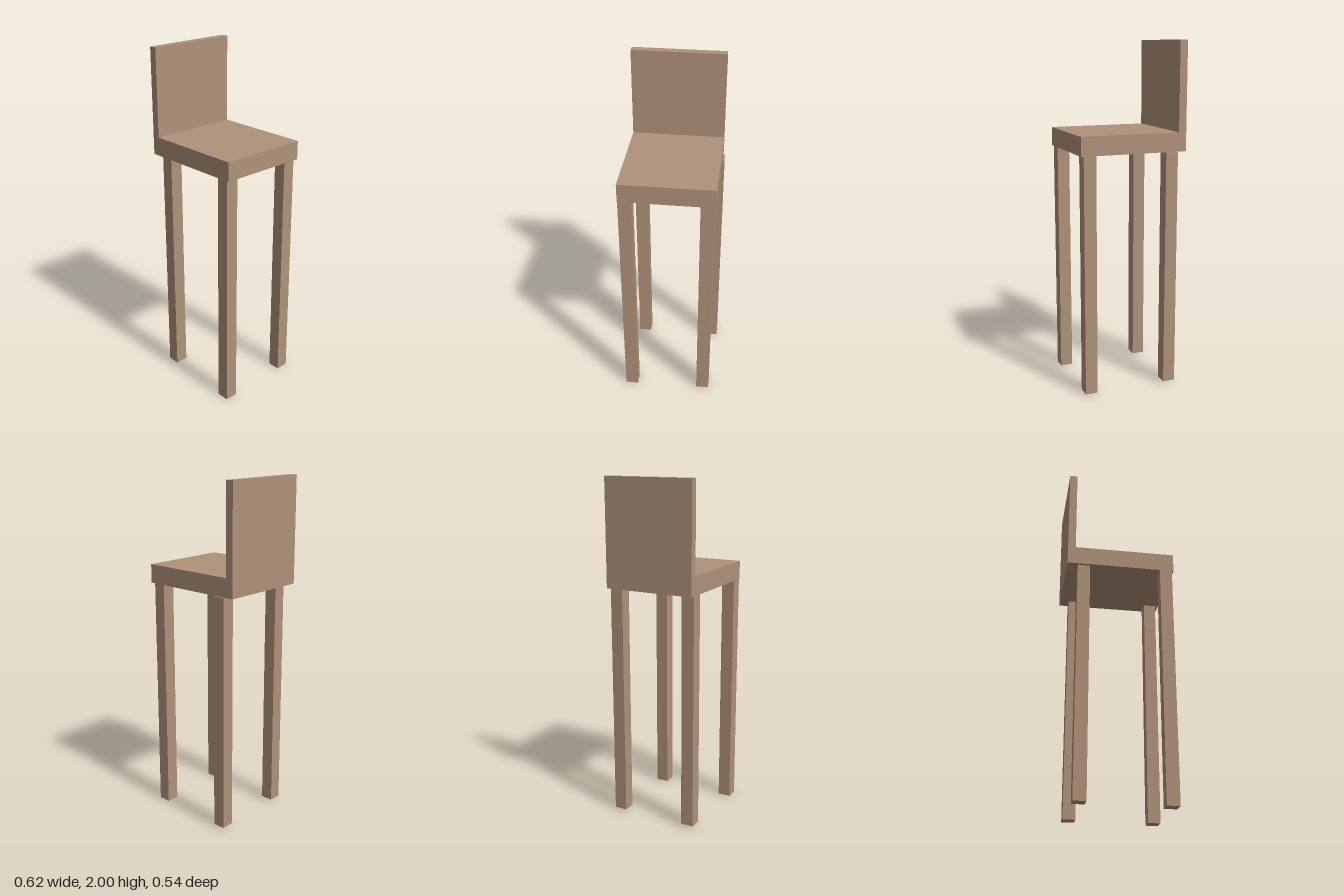
import * as THREE from 'three';

export function createModel() {
  const model = new THREE.Group();
  model.name = 'highChair';
  const wood = new THREE.MeshStandardMaterial({ color: 0xb0927a });
  wood.name = 'tan wood';

  // Seat and backrest: one L-shaped profile swept across the depth
  const seatBottom = 1.386, zBack = -0.262, zFront = 0.27;
  const profile = new THREE.Shape([
    [-0.312, seatBottom], [0.312, seatBottom], [0.312, 1.494],
    [-0.267, 1.494], [-0.267, 2], [-0.312, 2],
  ].map(([x, y]) => new THREE.Vector2(x, y)));
  const seatGeometry = new THREE.ExtrudeGeometry(profile, { depth: zFront - zBack, bevelEnabled: false });
  seatGeometry.translate(0, 0, zBack);
  const seat = new THREE.Mesh(seatGeometry, wood);
  seat.name = 'seatAndBackrest';
  model.add(seat);

  // Four square legs, each set slightly unevenly: name, x centre, z centre, foot height
  const legs = [
    ['frontLeftLeg', 0.266, 0.233, 0],
    ['backLeftLeg', 0.258, -0.214, 0.004],
    ['frontRightLeg', -0.215, 0.217, 0.012],
    ['backRightLeg', -0.222, -0.234, 0.012],
  ];
  for (const [name, x, z, foot] of legs) {
    const height = seatBottom - foot;
    const leg = new THREE.Mesh(new THREE.BoxGeometry(0.072, height, 0.075), wood);
    leg.name = name;
    leg.position.set(x, foot + height / 2, z);
    model.add(leg);
  }
  return model;
}
